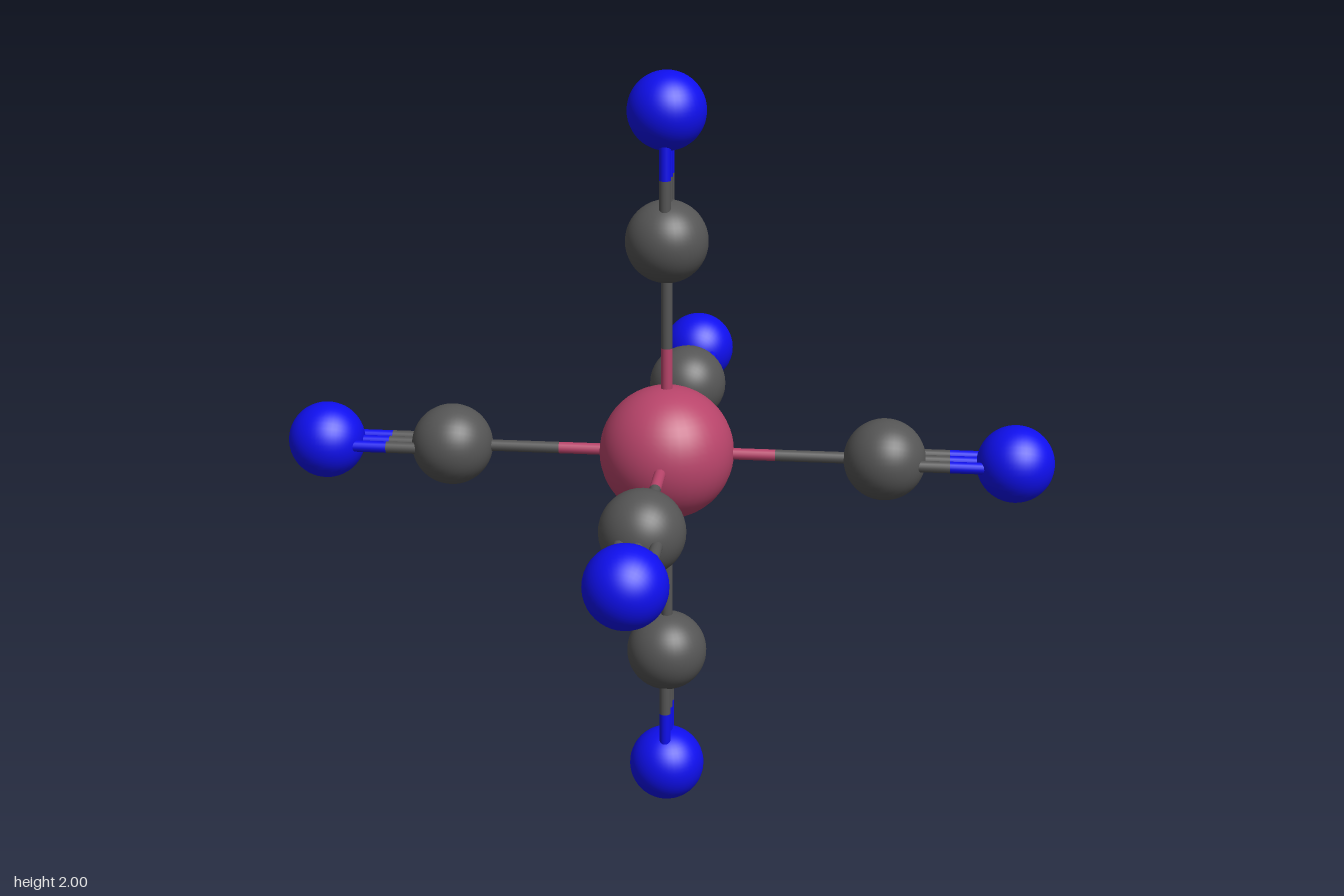
import * as THREE from 'three';

const METAL = new THREE.MeshStandardMaterial({ color: 0xb8446a });
const CARBON = new THREE.MeshStandardMaterial({ color: 0x555555 });
const NITROGEN = new THREE.MeshStandardMaterial({ color: 0x0f0fef });

const CARBON_AT = 0.565, NITROGEN_AT = 0.9;
const BOND_RADIUS = 0.015, BOND_GAP = 0.044;

function atom(name, radius, material, y) {
  const mesh = new THREE.Mesh(new THREE.SphereGeometry(radius, 40, 28), material);
  mesh.name = name;
  mesh.position.y = y;
  return mesh;
}

// A bond between two heights, each half in the colour of its nearer atom
function bond(name, y0, y1, lower, upper, z = 0) {
  const group = new THREE.Group();
  group.name = name;
  const half = (y1 - y0) / 2;
  const geometry = new THREE.CylinderGeometry(BOND_RADIUS, BOND_RADIUS, half, 16);
  [lower, upper].forEach((material, i) => {
    const mesh = new THREE.Mesh(geometry, material);
    mesh.name = i ? 'outerHalf' : 'innerHalf';
    mesh.position.set(0, y0 + half * (i + 0.5), z);
    group.add(mesh);
  });
  return group;
}

// One arm along +y, its triple bond spread along z
function arm(name) {
  const group = new THREE.Group();
  group.name = name;
  group.add(
    bond('singleBond', 0, CARBON_AT, METAL, CARBON),
    atom('carbonAtom', 0.106, CARBON, CARBON_AT),
    atom('nitrogenAtom', 0.1, NITROGEN, NITROGEN_AT)
  );
  for (const side of [-1, 0, 1]) {
    group.add(bond('tripleBondRod', CARBON_AT, NITROGEN_AT, CARBON, NITROGEN, side * BOND_GAP));
  }
  return group;
}

export function createModel() {
  const model = new THREE.Group();
  model.name = 'octahedralMolecule';
  const core = new THREE.Group();
  core.name = 'complex';
  core.position.y = 1;
  model.add(core);
  core.add(atom('metalAtom', 0.175, METAL, 0));

  // Six arms: direction of the arm and direction its triple bond spreads
  const X = new THREE.Vector3(1, 0, 0), Y = new THREE.Vector3(0, 1, 0), Z = new THREE.Vector3(0, 0, 1);
  const axes = [['left', 'right', X, Z], ['top', 'bottom', Y, Z], ['front', 'back', Z, X]];
  for (const [plus, minus, axis, spread] of axes) {
    for (const sign of [1, -1]) {
      const part = arm((sign > 0 ? plus : minus) + 'Arm');
      const along = axis.clone().multiplyScalar(sign);
      const across = new THREE.Vector3().crossVectors(along, spread);
      part.quaternion.setFromRotationMatrix(new THREE.Matrix4().makeBasis(across, along, spread));
      core.add(part);
    }
  }
  return model;
}
